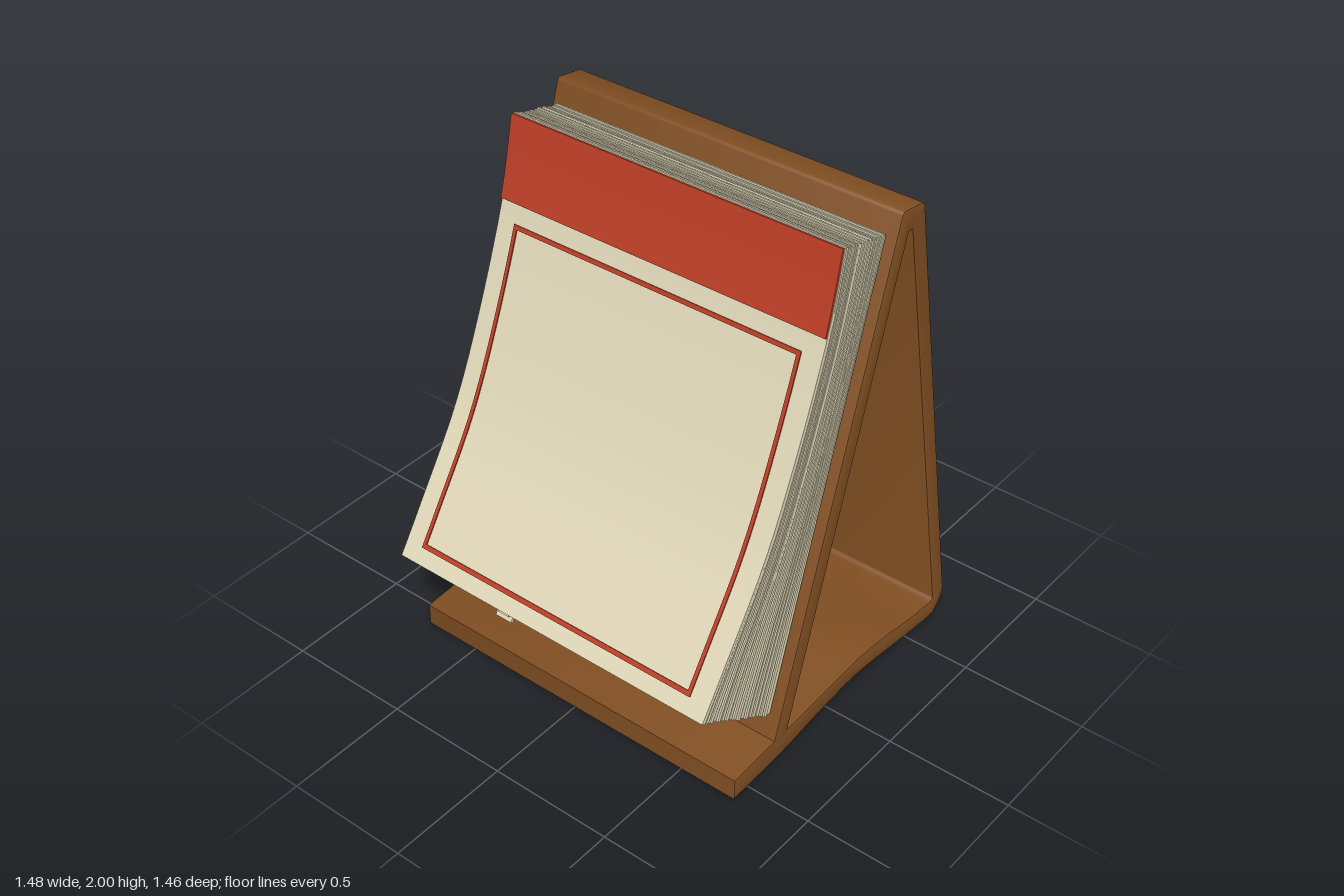
import * as THREE from 'three';
import { toCreasedNormals } from 'three/addons/utils/BufferGeometryUtils.js';

const V = (z, y) => new THREE.Vector2(z, y);
const material = (name, color) => {
  const m = new THREE.MeshStandardMaterial({ color });
  m.name = name;
  return m;
};

// Extrude a (z, y) side profile across the width from x0 to x1.
function across(shape, x0, x1, bevel = 0) {
  const g = new THREE.ExtrudeGeometry(shape, {
    depth: x1 - x0 - 2 * bevel, curveSegments: 24, bevelEnabled: bevel > 0,
    bevelSize: bevel, bevelThickness: bevel, bevelOffset: -bevel, bevelSegments: 2,
  });
  g.rotateY(-Math.PI / 2);
  g.translate(x1 - bevel, 0, 0);
  return toCreasedNormals(g, 0.6);
}

// Side curve of the page block: bowed front, straight back against the stand
const frontCurve = new THREE.SplineCurve([
  V(0.02, 1.985), V(0.095, 1.68), V(0.24, 1.29), V(0.4, 0.945), V(0.61, 0.62), V(0.725, 0.45),
]);
const backTop = V(-0.225, 1.925), backBottom = V(0.33, 0.19);

// Point in the block: t = depth (0 back, 1 front), u = 0 top to 1 bottom
function pagePoint(t, u) {
  return backTop.clone().lerp(backBottom, u).lerp(frontCurve.getPoint(u), t);
}

function sheetShape(t0, t1, u0, u1, steps = 24) {
  const a = [], b = [];
  for (let i = 0; i <= steps; i++) {
    const u = u0 + (u1 - u0) * i / steps;
    a.push(pagePoint(t0, u));
    b.push(pagePoint(t1, u));
  }
  return new THREE.Shape([...a, ...b.reverse()]);
}

// Curve parameter on the front sheet at a given height
function uAtHeight(y) {
  let lo = 0, hi = 1;
  for (let i = 0; i < 30; i++) {
    const mid = (lo + hi) / 2;
    if (frontCurve.getPoint(mid).y > y) lo = mid; else hi = mid;
  }
  return lo;
}

// Thin strip lying on the front sheet between two heights
function stripShape(yTop, yBottom, lift) {
  const u0 = uAtHeight(yTop), u1 = uAtHeight(yBottom), inner = [], outer = [];
  const steps = yTop - yBottom > 0.1 ? 20 : 2;
  for (let i = 0; i <= steps; i++) {
    const u = u0 + (u1 - u0) * i / steps;
    const p = frontCurve.getPoint(u), d = frontCurve.getTangent(u);
    inner.push(p);
    outer.push(V(p.x - d.y * lift, p.y + d.x * lift));
  }
  return new THREE.Shape([...inner, ...outer.reverse()]);
}

export function createModel() {
  const group = new THREE.Group();
  const wood = material('brown wood', 0x804e22);
  const paper = material('cream paper', 0xe0d7b8);
  const gap = material('page gap', 0x8f8871);
  const red = material('red print', 0xbc3e26);
  const add = (name, geometry, mat) => {
    const m = new THREE.Mesh(geometry, mat);
    m.name = name;
    group.add(m);
    return m;
  };

  // Stand: triangular loop with a wavy base
  const stand = new THREE.Shape();
  stand.moveTo(0.58, 0.0);
  stand.lineTo(0.58, 0.09);
  stand.lineTo(0.35, 0.104);
  stand.lineTo(-0.25, 1.985);
  stand.quadraticCurveTo(-0.255, 2.0, -0.275, 1.998);
  stand.lineTo(-0.365, 1.985);
  stand.quadraticCurveTo(-0.382, 1.98, -0.386, 1.96);
  stand.lineTo(-0.73, 0.1);
  stand.quadraticCurveTo(-0.73, 0.06, -0.67, 0.012);
  stand.splineThru([V(-0.6, 0.013), V(-0.4, 0.034), V(-0.17, 0.058), V(0.05, 0.045), V(0.3, 0.013), V(0.58, 0)]);
  const hole = new THREE.Path();
  hole.moveTo(0.272, 0.108);
  hole.lineTo(-0.297, 1.905);
  hole.lineTo(-0.317, 1.905);
  hole.lineTo(-0.657, 0.1);
  hole.quadraticCurveTo(-0.655, 0.086, -0.63, 0.086);
  hole.splineThru([V(-0.5, 0.096), V(-0.33, 0.123), V(-0.16, 0.135), V(0.02, 0.125), V(0.272, 0.108)]);
  stand.holes.push(hole);
  add('stand', across(stand, -0.74, 0.74, 0.008), wood);

  // Page block: a recessed core with fanned sheets around it
  add('pageCore', across(sheetShape(0, 0.98, 0.008, 0.988), -0.69, 0.693), gap);
  let seed = 7;
  const rand = () => (seed = (seed * 16807) % 2147483647) / 2147483647;
  const count = 18;
  for (let i = 0; i < count; i++) {
    const last = i === count - 1;
    const t0 = (i + 0.22 + 0.15 * rand()) / count, t1 = (i + 1) / count;
    const trim = last ? 0 : 0.006 * rand();
    add('sheet', across(sheetShape(t0, t1, trim, 1 - trim), -0.702 + trim, 0.706 - trim), paper);
  }

  // Red header band and thin printed frame
  add('headerBand', across(stripShape(1.984, 1.68, 0.009), -0.702, 0.704), red);
  for (const [name, yTop, yBottom, x0, x1] of [
    ['frameTop', 1.61, 1.594, -0.625, 0.625],
    ['frameBottom', 0.518, 0.503, -0.625, 0.625],
    ['frameLeft', 1.594, 0.518, 0.61, 0.625],
    ['frameRight', 1.594, 0.518, -0.625, -0.61],
  ]) add(name, across(stripShape(yTop, yBottom, 0.005), x0, x1), red);

  // Loose paper scraps under the lower edge: x, y, z, width, height, depth
  for (const [x, y, z, w, h, d] of [
    [-0.295, 0.335, 0.6, 0.075, 0.09, 0.012],
    [-0.295, 0.3, 0.575, 0.05, 0.014, 0.11],
    [-0.29, 0.265, 0.53, 0.07, 0.06, 0.012],
    [-0.295, 0.2, 0.445, 0.07, 0.075, 0.012],
    [-0.39, 0.215, 0.42, 0.11, 0.05, 0.012],
    [-0.48, 0.19, 0.37, 0.09, 0.025, 0.012],
  ]) {
    const scrap = add('paperScrap', new THREE.BoxGeometry(w, h, d), paper);
    scrap.position.set(x, y, z);
    scrap.rotation.x = -0.5;
  }
  return group;
}
